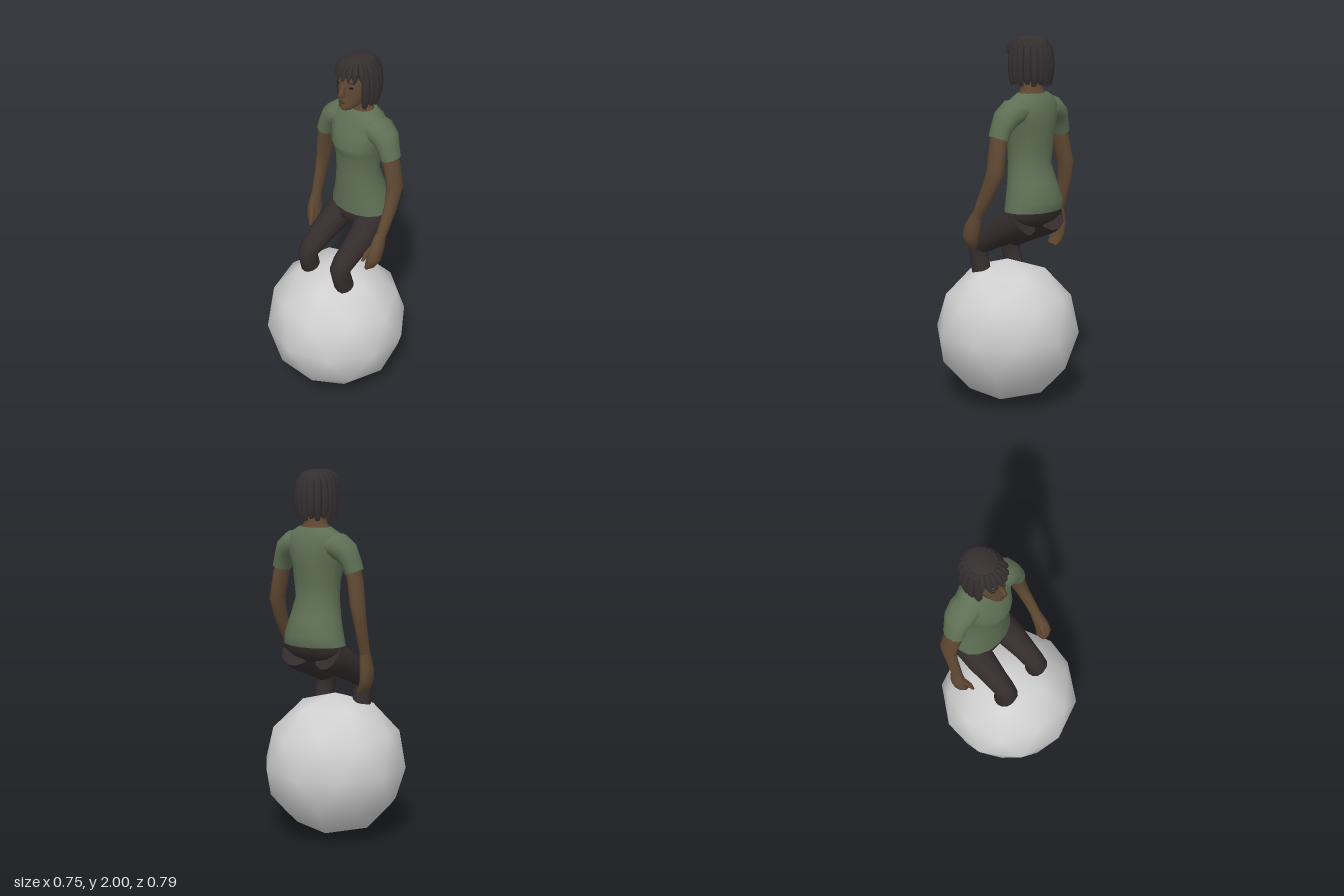
import * as THREE from 'three';

const mat = (name, color, side = THREE.FrontSide) => {
  const m = new THREE.MeshStandardMaterial({ color, side });
  m.name = name;
  return m;
};
const M = {
  ball: mat('pale grey', 0xd0d0d0),
  shirt: mat('sage green', 0x5f7055, THREE.DoubleSide),
  skin: mat('brown skin', 0x604933),
  trousers: mat('dark trousers', 0x342c2d),
  hair: mat('black hair', 0x352f30),
  eye: mat('dark eye', 0x1d1715),
  lip: mat('dark lip', 0x4a3026),
};

// Lofts elliptical rings [x, y, z, radiusAcross, radiusDepth] along their centres
function loft(rings, sides = 12, flat = false) {
  const pos = [], idx = [], Z = new THREE.Vector3(0, 0, 1);
  const centre = rings.map(r => new THREE.Vector3(r[0], r[1], r[2]));
  const last = rings.length - 1, loops = [];
  rings.forEach((r, k) => {
    const T = centre[Math.min(k + 1, last)].clone().sub(centre[Math.max(k - 1, 0)]).normalize();
    if (flat) T.set(0, Math.sign(T.y), 0);
    const V = Z.clone().addScaledVector(T, -T.z).normalize();
    const U = V.clone().cross(T);
    const loop = [];
    for (let i = 0; i < sides; i++) {
      const a = (i / sides) * Math.PI * 2;
      loop.push(centre[k].clone().addScaledVector(U, Math.cos(a) * r[3])
        .addScaledVector(V, Math.sin(a) * r[4]));
    }
    loops.push(loop);
    loop.forEach(p => pos.push(p.x, p.y, p.z));
  });
  for (let k = 0; k < last; k++) {
    for (let i = 0; i < sides; i++) {
      const j = (i + 1) % sides, a = k * sides + i, b = k * sides + j;
      idx.push(a, b, a + sides, b, b + sides, a + sides);
    }
  }
  // End caps with their own corners, so their rims stay sharp
  for (const k of [0, last]) {
    const base = pos.length / 3;
    [...loops[k], centre[k]].forEach(p => pos.push(p.x, p.y, p.z));
    for (let i = 0; i < sides; i++) {
      const j = (i + 1) % sides;
      if (k) idx.push(base + sides, base + i, base + j);
      else idx.push(base + sides, base + j, base + i);
    }
  }
  const g = new THREE.BufferGeometry();
  g.setAttribute('position', new THREE.Float32BufferAttribute(pos, 3));
  g.setIndex(idx);
  g.computeVertexNormals();
  return g;
}

export function createModel() {
  const model = new THREE.Group();
  model.name = 'womanOnBall';
  const add = (name, geo, material, parent = model) => {
    const mesh = new THREE.Mesh(geo, material);
    mesh.name = name;
    parent.add(mesh);
    return mesh;
  };

  // Ball: coarse icosphere standing on one of its corners
  const ball = new THREE.IcosahedronGeometry(0.395, 1);
  ball.rotateZ(-Math.atan(2 / (1 + Math.sqrt(5))));
  ball.translate(0, 0.395, 0);
  add('ball', ball, M.ball);

  // Shirt body, from hem to collar
  add('shirtBody', loft([
    [0, 1.095, -0.197, 0.175, 0.128], [0, 1.15, -0.203, 0.163, 0.137],
    [0, 1.24, -0.188, 0.14, 0.122], [0, 1.34, -0.168, 0.12, 0.107],
    [0, 1.43, -0.172, 0.127, 0.113], [0, 1.475, -0.166, 0.135, 0.121],
    [0, 1.515, -0.161, 0.142, 0.13], [0, 1.58, -0.175, 0.16, 0.12],
    [0, 1.64, -0.185, 0.165, 0.102], [0, 1.68, -0.188, 0.14, 0.085],
    [0, 1.708, -0.19, 0.092, 0.066],
  ], 16, true), M.shirt);

  // Hips
  add('hips', loft([
    [0, 1.13, -0.2, 0.155, 0.12], [0, 1.07, -0.2, 0.178, 0.122],
    [0, 1.03, -0.18, 0.14, 0.1], [0, 1.0, -0.17, 0.06, 0.06],
  ], 14, true), M.trousers);

  // Arms hang at different angles: elbow, wrist and hand differ per side
  const arms = [
    { s: 1, name: 'left', forearm: [
      [0.252, 1.32, -0.175, 0.037, 0.054], [0.262, 1.22, -0.135, 0.029, 0.046],
      [0.266, 1.13, -0.085, 0.027, 0.038], [0.266, 1.065, -0.05, 0.026, 0.03]],
    hand: [[0.266, 1.08, -0.055, 0.026, 0.032], [0.268, 1.01, -0.02, 0.033, 0.05],
      [0.268, 0.955, 0.002, 0.033, 0.052], [0.255, 0.915, 0.012, 0.026, 0.042],
      [0.24, 0.892, 0.012, 0.014, 0.03]],
    thumb: [[0.258, 1.03, -0.01, 0.015, 0.018], [0.24, 0.985, 0.035, 0.014, 0.016],
      [0.23, 0.945, 0.05, 0.008, 0.01]] },
    { s: -1, name: 'right', forearm: [
      [0.255, 1.32, -0.185, 0.036, 0.052], [0.263, 1.22, -0.17, 0.028, 0.045],
      [0.265, 1.12, -0.145, 0.027, 0.037], [0.267, 1.04, -0.125, 0.026, 0.03]],
    hand: [[0.267, 1.06, -0.13, 0.026, 0.032], [0.272, 0.98, -0.12, 0.032, 0.05],
      [0.27, 0.92, -0.115, 0.032, 0.052], [0.255, 0.875, -0.112, 0.026, 0.044],
      [0.232, 0.85, -0.11, 0.014, 0.034]],
    thumb: [[0.26, 0.99, -0.09, 0.015, 0.018], [0.244, 0.94, -0.06, 0.014, 0.016],
      [0.235, 0.895, -0.045, 0.008, 0.01]] },
  ];
  for (const { s, name, forearm, hand, thumb } of arms) {
    const flip = rings => rings.map(([x, ...r]) => [s * x, ...r]);
    const arm = new THREE.Group();
    arm.name = name + 'Arm';
    model.add(arm);
    add('sleeve', loft(flip([
      [0.07, 1.625, -0.185, 0.06, 0.08], [0.135, 1.615, -0.182, 0.07, 0.085],
      [0.18, 1.585, -0.177, 0.062, 0.077], [0.205, 1.54, -0.172, 0.05, 0.066],
      [0.225, 1.485, -0.168, 0.046, 0.06],
    ])), M.shirt, arm);
    add('armSkin', loft(flip([
      [0.212, 1.52, -0.168, 0.038, 0.05], [0.232, 1.44, -0.17, 0.038, 0.053], ...forearm,
    ])), M.skin, arm);
    add('hand', loft(flip(hand), 10), M.skin, arm);
    add('thumb', loft(flip(thumb), 6), M.skin, arm);

    // Bent leg, ending on the ball
    add(name + 'Leg', loft(flip([
      [0.09, 1.06, -0.22, 0.085, 0.1], [0.1, 1.035, -0.18, 0.085, 0.1],
      [0.11, 0.985, -0.1, 0.078, 0.082], [0.115, 0.925, 0.01, 0.064, 0.068],
      [0.116, 0.885, 0.075, 0.058, 0.06], [0.118, 0.855, 0.103, 0.055, 0.058],
      [0.12, 0.8, 0.092, 0.051, 0.054], [0.123, 0.728, 0.073, 0.05, 0.055],
    ])), M.trousers);
  }

  // Neck and head
  const head = new THREE.Group();
  head.name = 'head';
  model.add(head);
  add('neck', loft([
    [0, 1.66, -0.19, 0.11, 0.07], [0, 1.715, -0.187, 0.072, 0.058],
    [0, 1.74, -0.18, 0.054, 0.055], [0, 1.82, -0.17, 0.052, 0.055],
  ], 12, true), M.skin, head);
  add('face', loft([
    [0, 1.742, -0.09, 0.03, 0.045], [0, 1.755, -0.1, 0.045, 0.064],
    [0, 1.785, -0.13, 0.066, 0.088], [0, 1.83, -0.15, 0.08, 0.104],
    [0, 1.88, -0.157, 0.087, 0.11], [0, 1.93, -0.16, 0.085, 0.11],
    [0, 1.97, -0.165, 0.06, 0.08],
  ], 20, true), M.skin, head);
  add('nose', loft([
    [0, 1.885, -0.052, 0.007, 0.008], [0, 1.845, -0.037, 0.011, 0.019],
    [0, 1.832, -0.034, 0.016, 0.021], [0, 1.82, -0.042, 0.012, 0.012],
  ], 8, true), M.skin, head);
  const mouth = add('mouth', new THREE.CircleGeometry(1, 12), M.lip, head);
  mouth.scale.set(0.024, 0.006, 1);
  mouth.position.set(0, 1.79, -0.036);
  for (const s of [-1, 1]) {
    const eye = add('eye', new THREE.CircleGeometry(1, 10), M.eye, head);
    eye.scale.set(0.013, 0.007, 1);
    eye.position.set(s * 0.045, 1.878, -0.059);
    eye.rotation.y = s * 0.4;
    const brow = add('eyebrow', new THREE.BoxGeometry(0.038, 0.006, 0.006), M.hair, head);
    brow.position.set(s * 0.045, 1.904, -0.06);
    brow.rotation.y = s * 0.4;
  }

  // Hair: a cap, long locks round sides and back, short fringe
  const hair = new THREE.Group();
  hair.name = 'hair';
  head.add(hair);
  add('hairCap', loft([
    [0, 1.77, -0.21, 0.085, 0.07], [0, 1.85, -0.205, 0.096, 0.08],
    [0, 1.9, -0.19, 0.097, 0.095], [0, 1.935, -0.172, 0.096, 0.117],
    [0, 1.97, -0.172, 0.083, 0.107], [0, 1.992, -0.172, 0.058, 0.08],
    [0, 2.0, -0.172, 0.02, 0.035],
  ], 16, true), M.hair, hair);
  const lock = (name, phi, stops) => {
    const sx = Math.sin(phi), cz = Math.cos(phi);
    const rings = stops.map(([y, k, w]) => [sx * 0.1 * k, y, -0.172 + cz * 0.118 * k, w, 0.013]);
    // Build each lock facing outward, then turn it round its own root
    const geo = loft(rings.map(r => {
      const reach = Math.hypot(r[0], r[2] + 0.172);
      return [0, r[1], reach, r[3], r[4]];
    }), 6);
    geo.rotateY(Math.atan2(sx * 0.1, cz * 0.118));
    geo.translate(0, 0, -0.172);
    add(name, geo, M.hair, hair);
  };
  for (let i = 0; i < 13; i++) {
    const phi = THREE.MathUtils.degToRad(63 + i * 19.5);
    const low = 1.748 + (i % 2) * 0.012;
    lock('hairLock', phi, [[1.982, 0.62, 0.012], [1.94, 0.92, 0.021], [1.86, 1.02, 0.023],
      [1.79, 0.98, 0.021], [low, 0.88, 0.012]]);
  }
  for (let i = -3; i <= 3; i++) {
    const phi = THREE.MathUtils.degToRad(i * 17);
    lock('fringeLock', phi, [[1.988, 0.6, 0.012], [1.965, 0.9, 0.017], [1.935, 1.03, 0.016],
      [1.908 + (i % 2 ? 0.006 : 0), 1.05, 0.005]]);
  }
  return model;
}
